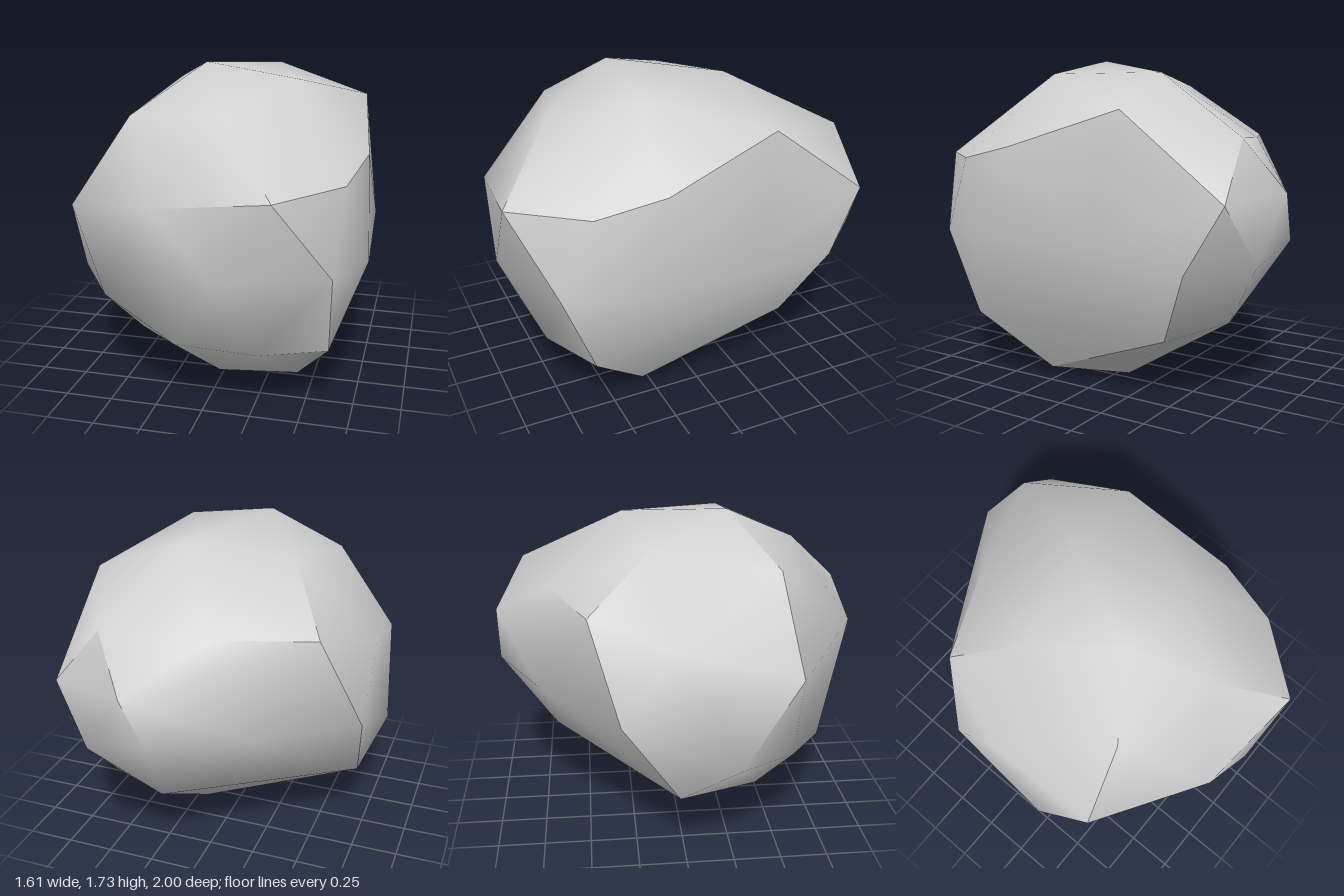
import * as THREE from 'three';
import { ConvexGeometry } from 'three/addons/geometries/ConvexGeometry.js';

// Sharp ridges where the boulder is chipped; a ridge fades out where it ends alone
const ridges = [
  // rim of the big cut face
  [[0.4, 1.21, 1], [0.69, 1.22, 0.65], [0.76, 1.3, 0.3], [0.68, 1.5, -0.32], [0.66, 1.08, -0.87], [0.7, 0.74, -0.68],
    [0.54, 0.35, -0.49], [0.42, 0.04, 0.3], [0.63, 0.36, 0.64], [0.66, 0.81, 0.82], [0.4, 1.21, 1]],
  // short ridges running off that rim
  [[0.4, 1.21, 1], [-0.2, 1.13, 0.94]],
  [[0.4, 1.21, 1], [0.1, 1.53, 0.67]],
  [[0.63, 0.36, 0.64], [0.3, 0.37, 0.8]],
  [[0.66, 1.08, -0.87], [0.47, 0.77, -0.95]],
  [[0.66, 1.08, -0.87], [0.42, 1.37, -0.84], [0.25, 1.1, -1], [0.14, 0.85, -0.98]],
  // front and back edges of the underside
  [[0.42, 0.04, 0.3], [0.02, 0.09, 0.46], [-0.43, 0.275, 0.41], [-0.71, 0.36, -0.03]],
  [[0.42, 0.04, 0.3], [0.19, 0, -0.06], [-0.28, 0.17, 0], [-0.71, 0.36, -0.03]],
  // front and back edges of the side opposite the cut
  [[-0.81, 0.56, 0.27], [-0.74, 1.01, 0.58], [-0.43, 1.48, 0.51], [-0.09, 1.73, 0.27]],
  [[-0.71, 0.36, -0.03], [-0.78, 0.81, -0.33], [-0.58, 1.31, -0.48], [-0.35, 1.59, -0.14]],
  [[-0.58, 1.31, -0.48], [-0.1, 1.33, -0.68]]
];
// Corners that lie within the smooth sides
const smoothCorners = [
  [0.39, 1.66, 0.28], [0.2, 1.67, -0.27], [0.8, 0.81, 0.52], [0.77, 0.85, -0.2], [0.13, 0.8, 0.99], [-0.12, 0.4, 0.83],
  [0.2, 0.39, -0.68], [-0.31, 0.85, -0.75], [-0.77, 1.16, -0.02], [-0.58, 0.52, 0.58]
];

const keyOf = (v) => v.toArray().map((n) => Math.round(n * 1000)).join();

// Average the normals of neighbouring faces at each corner, stopping at the ridges
function smoothBetweenRidges(geometry, sharp) {
  const pos = geometry.attributes.position;
  const corners = [];
  for (let i = 0; i < pos.count; i += 3) {
    const p = [0, 1, 2].map((k) => new THREE.Vector3().fromBufferAttribute(pos, i + k));
    const normal = new THREE.Triangle(...p).getNormal(new THREE.Vector3());
    const keys = p.map(keyOf);
    p.forEach((v, k) => {
      const a = (k + 1) % 3, b = (k + 2) % 3;
      const angle = p[a].clone().sub(v).angleTo(p[b].clone().sub(v));
      corners.push({ key: keys[k], ends: [keys[a], keys[b]], weighted: normal.clone().multiplyScalar(angle) });
    });
  }
  const joined = (c, d) => c.key === d.key && c.ends.some((e) => d.ends.includes(e) && !sharp.has(c.key + '|' + e));
  corners.forEach((corner, i) => {
    const fan = new Set([corner]);
    for (const c of fan) corners.forEach((d) => { if (joined(c, d)) fan.add(d); });
    const n = new THREE.Vector3();
    fan.forEach((c) => n.add(c.weighted));
    geometry.attributes.normal.setXYZ(i, ...n.normalize().toArray());
  });
  return geometry;
}

export function createModel() {
  const group = new THREE.Group();
  group.name = 'rock';
  const stone = new THREE.MeshStandardMaterial({ color: 0xd0d0d0 });
  stone.name = 'grey stone';

  const points = new Map();
  const sharp = new Set();
  [...ridges.flat(), ...smoothCorners].forEach((p) => {
    const v = new THREE.Vector3(...p);
    points.set(keyOf(v), v);
  });
  ridges.forEach((ridge) => {
    const keys = ridge.map((p) => keyOf(new THREE.Vector3(...p)));
    for (let i = 1; i < keys.length; i++) sharp.add(keys[i - 1] + '|' + keys[i]).add(keys[i] + '|' + keys[i - 1]);
  });

  // Convex boulder
  const boulder = new THREE.Mesh(smoothBetweenRidges(new ConvexGeometry([...points.values()]), sharp), stone);
  boulder.name = 'boulder';
  group.add(boulder);
  return group;
}
